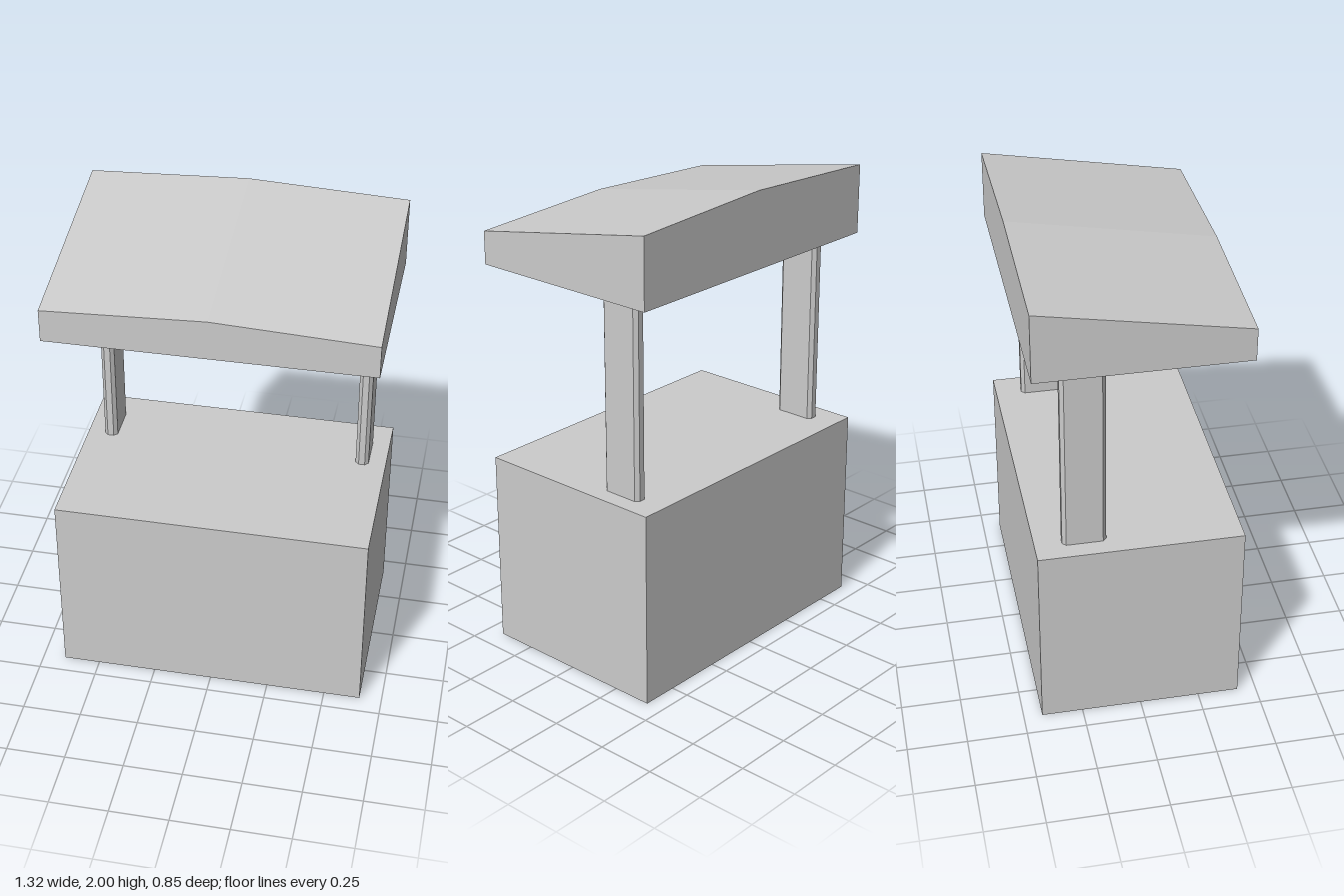
import * as THREE from 'three';

const grey = new THREE.MeshStandardMaterial({ color: 0xcccccc, flatShading: true });
const greyThin = new THREE.MeshStandardMaterial({ color: 0xcccccc, flatShading: true, side: THREE.DoubleSide });

function part(name, geometry, material = grey) {
  const mesh = new THREE.Mesh(geometry, material);
  mesh.name = name;
  return mesh;
}

function polygon(points) {
  return new THREE.Shape(points.map(([x, y]) => new THREE.Vector2(x, y)));
}

export function createModel() {
  const model = new THREE.Group();
  model.name = 'marketStall';

  const counterTop = 0.837, eaves = 1.677, ceiling = 1.75;
  const roofW = 0.66, roofD = 0.427;

  // Solid counter block
  const counter = part('counter', new THREE.BoxGeometry(1.31, counterTop, 0.844));
  counter.position.y = counterTop / 2;
  model.add(counter);

  // Flat posts with chamfered corners, running up to the ceiling
  const a = 0.028, b = 0.09, c = 0.015;
  const section = polygon([
    [a, b - c], [a - c, b], [c - a, b], [-a, b - c],
    [-a, c - b], [c - a, -b], [a - c, -b], [a, c - b],
  ]);
  for (const side of [1, -1]) {
    const geometry = new THREE.ExtrudeGeometry(section, { depth: ceiling - counterTop, bevelEnabled: false });
    geometry.rotateX(-Math.PI / 2);
    const post = part(side > 0 ? 'leftPost' : 'rightPost', geometry);
    post.position.set(side * 0.553, counterTop, -0.22);
    model.add(post);
  }

  // Roof body: shallow gable extruded front to back, its top sheared up to the rear
  const gable = polygon([
    [-roofW, ceiling], [roofW, ceiling], [roofW, 1.815], [0, 1.845], [-roofW, 1.815],
  ]);
  const roof = new THREE.ExtrudeGeometry(gable, { depth: 2 * roofD, bevelEnabled: false });
  roof.translate(0, 0, -roofD);
  const p = roof.attributes.position;
  for (let i = 0; i < p.count; i++) {
    if (p.getY(i) > ceiling + 0.01) {
      p.setY(i, p.getY(i) + 0.155 * (roofD - p.getZ(i)) / (2 * roofD));
    }
  }
  roof.computeVertexNormals();
  model.add(part('roof', roof));

  // Thin fascia hanging below the ceiling, open underneath
  const fascia = new THREE.CylinderGeometry(Math.SQRT2, Math.SQRT2, ceiling - eaves, 4, 1, true);
  fascia.rotateY(Math.PI / 4);
  fascia.scale(roofW, 1, roofD);
  fascia.translate(0, (ceiling + eaves) / 2, 0);
  model.add(part('fascia', fascia, greyThin));

  return model;
}
